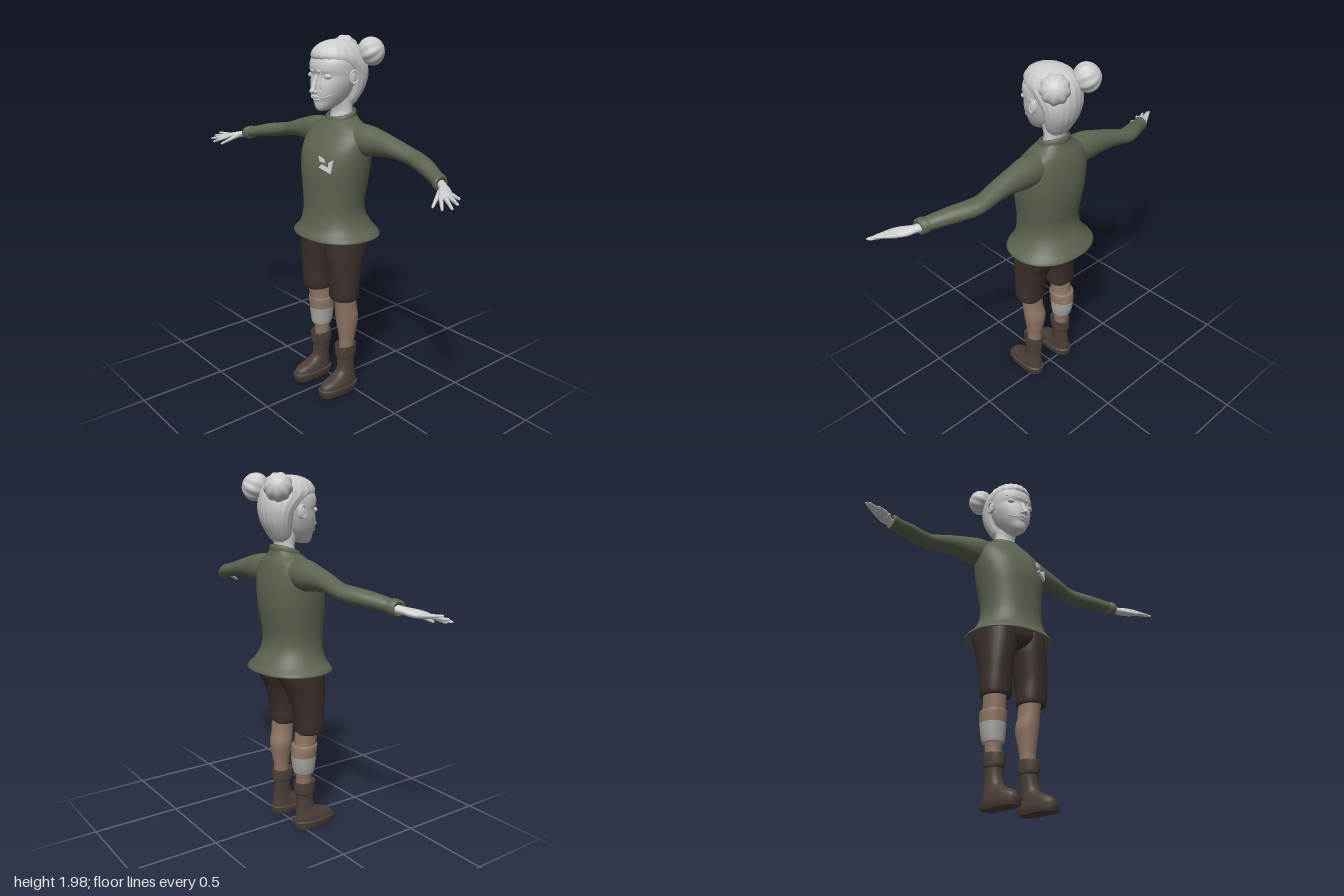
import * as THREE from 'three';
import { mergeVertices, toCreasedNormals } from 'three/addons/utils/BufferGeometryUtils.js';

const paint = (color) => new THREE.MeshStandardMaterial({ color, side: THREE.DoubleSide });

// Smooth interpolation through the rows of a cross-section list
function spline(rows, t) {
  const i = Math.min(Math.floor(t), rows.length - 2), f = t - i;
  const at = (k) => rows[Math.max(0, Math.min(rows.length - 1, k))];
  return [0, 1, 2, 3, 4, 5].map((k) => {
    const [a, b, c, d] = [at(i - 1), at(i), at(i + 1), at(i + 2)].map((r) => r[k] ?? 0);
    return b + 0.5 * f * (c - a + f * (2 * a - 5 * b + 4 * c - d + f * (3 * (b - c) + d - a)));
  });
}

// Skin over rows [position, half width, z front, z back, centre, tilt] along y or x.
// p squares the sections, ridge and waves groove them.
function loft(rows, { axis = 'y', n = 32, steps = 4, p = 2, ridge = 0, waves = 0 } = {}) {
  const pos = [], index = [], rings = (rows.length - 1) * steps;
  const round = (v) => Math.sign(v) * Math.abs(v) ** (2 / p);
  for (let i = 0; i <= rings; i++) {
    const [at, w, zf, zb, c, tilt] = spline(rows, i / steps);
    for (let j = 0; j < n; j++) {
      const a = (j / n) * Math.PI * 2, k = 1 + ridge * Math.cos(a * waves);
      const u = round(Math.cos(a)) * Math.max(w, 0.0005) * k, s = round(Math.sin(a));
      const mid = (zf + zb) / 2, d = (s * k * (zf - zb)) / 2;
      if (axis === 'y') pos.push(c + u, at + tilt * s, mid + d);
      else pos.push(at, c + u, mid - d);
      if (i < rings) {
        const q = i * n + j, r = i * n + ((j + 1) % n);
        index.push(q, q + n, r, r, q + n, r + n);
      }
    }
  }
  const g = new THREE.BufferGeometry();
  g.setAttribute('position', new THREE.Float32BufferAttribute(pos, 3));
  g.setIndex(index);
  g.computeVertexNormals();
  return g;
}

// Rounded, tapered rod between two points
function rod(a, b, r1, r2) {
  const A = new THREE.Vector3(...a), B = new THREE.Vector3(...b), len = A.distanceTo(B);
  const g = new THREE.CapsuleGeometry(r1, len, 4, 10), v = g.attributes.position;
  for (let i = 0; i < v.count; i++) {
    const t = THREE.MathUtils.clamp(v.getY(i) / len + 0.5, 0, 1), s = 1 + (r2 / r1 - 1) * t;
    v.setX(i, v.getX(i) * s);
    v.setZ(i, v.getZ(i) * s);
  }
  const turn = new THREE.Quaternion().setFromUnitVectors(new THREE.Vector3(0, 1, 0), B.clone().sub(A).normalize());
  g.applyQuaternion(turn).translate(...A.add(B).multiplyScalar(0.5).toArray());
  g.computeVertexNormals();
  return g;
}

function ball(r, scale, at) {
  return new THREE.SphereGeometry(r, 20, 14).scale(...scale).translate(...at);
}

// Mirrored copy in x with the corner order restored
function mirror(geo) {
  const g = geo.clone().scale(-1, 1, 1), ix = g.index.array;
  for (let i = 0; i < ix.length; i += 3) [ix[i], ix[i + 1]] = [ix[i + 1], ix[i]];
  g.computeVertexNormals();
  return g;
}

export function createModel() {
  const model = new THREE.Group();
  const grey = paint(0xcccccc), knit = paint(0x5d6451), cloth = paint(0x3b2f2c);
  const skin = paint(0x8f7665), leather = paint(0x4b4038), gauze = paint(0xa9a6a2);
  const add = (name, geo, mat) => {
    const m = new THREE.Mesh(geo, mat);
    m.name = name;
    model.add(m);
    return m;
  };
  const pair = (name, geo, mat, crease) => {
    const fin = (g) => (crease ? toCreasedNormals(g, 0.7) : g);
    const other = mirror(geo);
    add(name + 'Left', fin(geo), mat);
    add(name + 'Right', fin(other), mat);
  };

  // Sweater: flared hem, waist, chest, shoulders, collar
  add('sweaterBody', loft([
    [0.945, 0.215, 0.18, -0.185], [0.93, 0.25, 0.212, -0.217], [0.945, 0.247, 0.21, -0.215],
    [0.985, 0.205, 0.188, -0.185], [1.05, 0.178, 0.175, -0.148], [1.12, 0.175, 0.172, -0.138],
    [1.2, 0.185, 0.173, -0.15], [1.3, 0.202, 0.174, -0.162], [1.39, 0.213, 0.155, -0.16],
    [1.46, 0.21, 0.118, -0.15], [1.52, 0.175, 0.075, -0.135], [1.555, 0.115, 0.05, -0.12],
    [1.575, 0.085, 0.04, -0.108, 0, -0.015],
  ], { n: 48, p: 2.2 }), knit);
  add('collar', loft([
    [1.555, 0.085, 0.04, -0.108, 0, -0.015], [1.575, 0.09, 0.047, -0.113, 0, -0.018],
    [1.592, 0.085, 0.042, -0.109, 0, -0.02], [1.594, 0.073, 0.028, -0.096, 0, -0.02],
    [1.56, 0.068, 0.02, -0.09, 0, -0.015],
  ]), knit);
  pair('sleeve', loft([
    [0.08, 0.07, 0.03, -0.11, 1.475], [0.2, 0.082, 0.032, -0.114, 1.468], [0.3, 0.066, 0.012, -0.11, 1.464],
    [0.4, 0.05, 0, -0.11, 1.452], [0.5, 0.041, -0.012, -0.114, 1.43], [0.56, 0.041, 0, -0.107, 1.419],
    [0.65, 0.04, 0.032, -0.07, 1.406], [0.74, 0.035, 0.064, -0.022, 1.388], [0.775, 0.033, 0.075, -0.002, 1.38],
  ], { axis: 'x' }), knit);
  pair('cuff', loft([
    [0.765, 0.033, 0.07, -0.005, 1.381], [0.772, 0.04, 0.082, -0.007, 1.379], [0.797, 0.039, 0.09, 0.004, 1.375],
    [0.804, 0.03, 0.083, 0.014, 1.373], [0.798, 0.018, 0.07, 0.02, 1.373],
  ], { axis: 'x' }), knit);

  // Torn patch on the chest
  const scraps = [
    [[0.015, 0.005], [0.042, 0.022], [0.03, -0.052], [-0.04, -0.024], [-0.025, -0.008], [0.012, -0.025]],
    [[-0.045, 0.035], [-0.015, 0.02], [-0.008, 0.002], [-0.036, 0.008]],
  ];
  for (const pts of scraps) {
    const shape = new THREE.Shape(pts.map((q) => new THREE.Vector2(...q)));
    const g = new THREE.ExtrudeGeometry(shape, { depth: 0.014, bevelEnabled: false });
    add('chestPatch', g.rotateX(-0.12).rotateY(0.42).translate(0.105, 1.357, 0.15), grey);
  }

  // Hands
  pair('palm', loft([
    [0.785, 0.02, 0.068, 0.015, 1.372], [0.82, 0.019, 0.086, 0.033, 1.366], [0.86, 0.02, 0.132, 0.05, 1.356],
    [0.895, 0.016, 0.153, 0.078, 1.349], [0.915, 0.009, 0.148, 0.1, 1.346], [0.92, 0.001, 0.13, 0.12, 1.345],
  ], { axis: 'x', n: 20 }), grey);
  const fingers = {
    thumb: [[0.84, 1.354, 0.1], [0.88, 1.312, 0.185]],
    indexFinger: [[0.885, 1.347, 0.144], [0.945, 1.317, 0.2]],
    middleFinger: [[0.898, 1.348, 0.132], [0.988, 1.328, 0.188]],
    ringFinger: [[0.903, 1.349, 0.112], [0.993, 1.342, 0.16]],
    littleFinger: [[0.898, 1.35, 0.09], [0.98, 1.358, 0.135]],
  };
  for (const [name, [a, b]] of Object.entries(fingers)) pair(name, rod(a, b, 0.012, 0.007), grey);

  // Shorts
  pair('shortsLeg', loft([
    [0.6, 0.05, 0.095, -0.02, 0.12], [0.575, 0.07, 0.112, -0.03, 0.12], [0.585, 0.08, 0.121, -0.036, 0.12],
    [0.62, 0.083, 0.125, -0.04, 0.12], [0.7, 0.082, 0.13, -0.05, 0.12], [0.8, 0.091, 0.139, -0.078, 0.112],
    [0.88, 0.1, 0.145, -0.122, 0.103], [0.97, 0.1, 0.145, -0.158, 0.1],
  ], { p: 2.2 }), cloth);
  add('shortsSeat', loft([
    [0.865, 0.02, 0.06, -0.05], [0.885, 0.09, 0.115, -0.1], [0.92, 0.175, 0.14, -0.142],
    [0.96, 0.198, 0.145, -0.158], [1.03, 0.17, 0.14, -0.13],
  ]), cloth);

  // Lower legs, with a bandage round the right calf
  pair('shin', loft([
    [0.2, 0.04, 0.06, -0.026, 0.112], [0.3, 0.043, 0.06, -0.028, 0.112], [0.36, 0.05, 0.068, -0.04, 0.112],
    [0.45, 0.063, 0.081, -0.053, 0.111], [0.52, 0.058, 0.09, -0.04, 0.115], [0.61, 0.06, 0.1, -0.035, 0.118],
  ]), skin);
  add('bandageLower', loft([
    [0.335, 0.047, 0.066, -0.036, -0.113], [0.34, 0.055, 0.077, -0.044, -0.114],
    [0.385, 0.063, 0.083, -0.054, -0.115], [0.44, 0.069, 0.088, -0.06, -0.115],
  ]), gauze);
  add('bandageUpper', loft([
    [0.44, 0.069, 0.088, -0.06, -0.115], [0.5, 0.071, 0.093, -0.055, -0.116], [0.507, 0.058, 0.088, -0.042, -0.115],
  ]), skin);

  // Boots
  pair('bootSole', loft([
    [0, 0.001, 0.09, 0.089, 0.12], [0, 0.055, 0.212, -0.042, 0.12], [0.008, 0.059, 0.217, -0.046, 0.12],
    [0.04, 0.059, 0.218, -0.046, 0.12], [0.046, 0.05, 0.208, -0.036, 0.12],
  ], { steps: 1, p: 2.6 }), leather, true);
  pair('bootUpper', loft([
    [0.035, 0.053, 0.21, -0.038, 0.12], [0.06, 0.052, 0.205, -0.038, 0.12], [0.08, 0.048, 0.176, -0.035, 0.119],
    [0.1, 0.044, 0.12, -0.032, 0.117], [0.125, 0.041, 0.085, -0.028, 0.115], [0.17, 0.042, 0.073, -0.026, 0.113],
    [0.23, 0.046, 0.075, -0.03, 0.112],
  ], { p: 2.3 }), leather);
  pair('bootCuff', loft([
    [0.205, 0.043, 0.073, -0.028, 0.112], [0.215, 0.052, 0.086, -0.04, 0.112], [0.27, 0.054, 0.091, -0.042, 0.112],
    [0.282, 0.051, 0.087, -0.039, 0.112], [0.265, 0.043, 0.065, -0.029, 0.112],
  ]), leather);

  // Neck and face
  add('neck', loft([
    [1.53, 0.075, 0.03, -0.1], [1.6, 0.064, 0.014, -0.09], [1.66, 0.064, 0.03, -0.1], [1.72, 0.07, 0.04, -0.1],
  ]), grey);
  add('face', loft([
    [1.612, 0.001, 0.1, 0.09], [1.616, 0.026, 0.12, 0.055], [1.635, 0.048, 0.131, 0.005],
    [1.665, 0.07, 0.135, -0.045], [1.7, 0.089, 0.145, -0.08], [1.75, 0.108, 0.142, -0.1],
    [1.795, 0.117, 0.132, -0.11], [1.825, 0.12, 0.141, -0.11], [1.87, 0.117, 0.136, -0.11], [1.93, 0.08, 0.1, -0.08],
  ], { n: 40, p: 2.15 }), grey);
  add('noseBridge', rod([0, 1.79, 0.132], [0, 1.722, 0.155], 0.011, 0.015), grey);
  add('noseTip', ball(0.016, [1, 0.85, 1], [0, 1.718, 0.158]), grey);
  pair('nostril', ball(0.011, [1, 0.8, 1], [0.015, 1.714, 0.147]), grey);
  pair('eye', ball(0.023, [1, 0.62, 0.7], [0.066, 1.793, 0.11]), grey);
  pair('brow', rod([0.025, 1.818, 0.136], [0.092, 1.83, 0.099], 0.008, 0.004), grey);
  add('scar', rod([0.04, 1.738, 0.137], [0.036, 1.85, 0.132], 0.004, 0.003), grey);
  const smile = new THREE.CatmullRomCurve3([[-0.078, 1.7, 0.094], [-0.045, 1.684, 0.129], [0, 1.682, 0.146],
    [0.045, 1.684, 0.129], [0.078, 1.7, 0.094]].map((q) => new THREE.Vector3(...q)));
  add('smile', new THREE.TubeGeometry(smile, 24, 0.004, 6), grey);
  add('upperLip', ball(0.03, [1, 0.24, 0.45], [0, 1.69, 0.137]), grey);
  add('lowerLip', ball(0.028, [1, 0.27, 0.45], [0, 1.673, 0.131]), grey);
  pair('ear', ball(0.036, [0.35, 1, 0.68], [0.122, 1.785, -0.008]).rotateY(0.02), grey);
  const rim = new THREE.TorusGeometry(0.028, 0.006, 8, 20).scale(0.75, 1.15, 1).rotateY(Math.PI / 2 - 0.25);
  pair('earRim', rim.translate(0.132, 1.787, -0.01), grey);

  // Combed-back hair and two grooved buns
  add('hair', loft([
    [1.63, 0.05, -0.03, -0.098], [1.66, 0.074, -0.012, -0.122], [1.72, 0.1, -0.012, -0.157],
    [1.78, 0.117, 0, -0.174], [1.83, 0.125, 0.05, -0.177], [1.87, 0.126, 0.125, -0.172],
    [1.9, 0.12, 0.138, -0.16], [1.935, 0.1, 0.115, -0.132], [1.957, 0.07, 0.078, -0.092],
    [1.969, 0.032, 0.037, -0.045], [1.972, 0.001, 0, -0.005],
  ], { n: 80, ridge: 0.014, waves: 20 }), grey);
  let bun = new THREE.SphereGeometry(0.073, 54, 24);
  bun.deleteAttribute('uv');
  bun.deleteAttribute('normal');
  bun = mergeVertices(bun);
  const v = bun.attributes.position;
  for (let i = 0; i < v.count; i++) {
    const a = Math.atan2(v.getZ(i), v.getX(i)), flat = Math.hypot(v.getX(i), v.getZ(i)) / 0.073;
    const k = 1 + 0.045 * flat * Math.cos(9 * a);
    v.setXYZ(i, v.getX(i) * k, v.getY(i) * 0.96, v.getZ(i) * k);
  }
  bun.applyQuaternion(new THREE.Quaternion().setFromUnitVectors(
    new THREE.Vector3(0, 1, 0), new THREE.Vector3(0.65, 0.45, -0.6).normalize()));
  bun.translate(0.108, 1.91, -0.147);
  bun.computeVertexNormals();
  pair('hairBun', bun, grey);

  return model;
}
